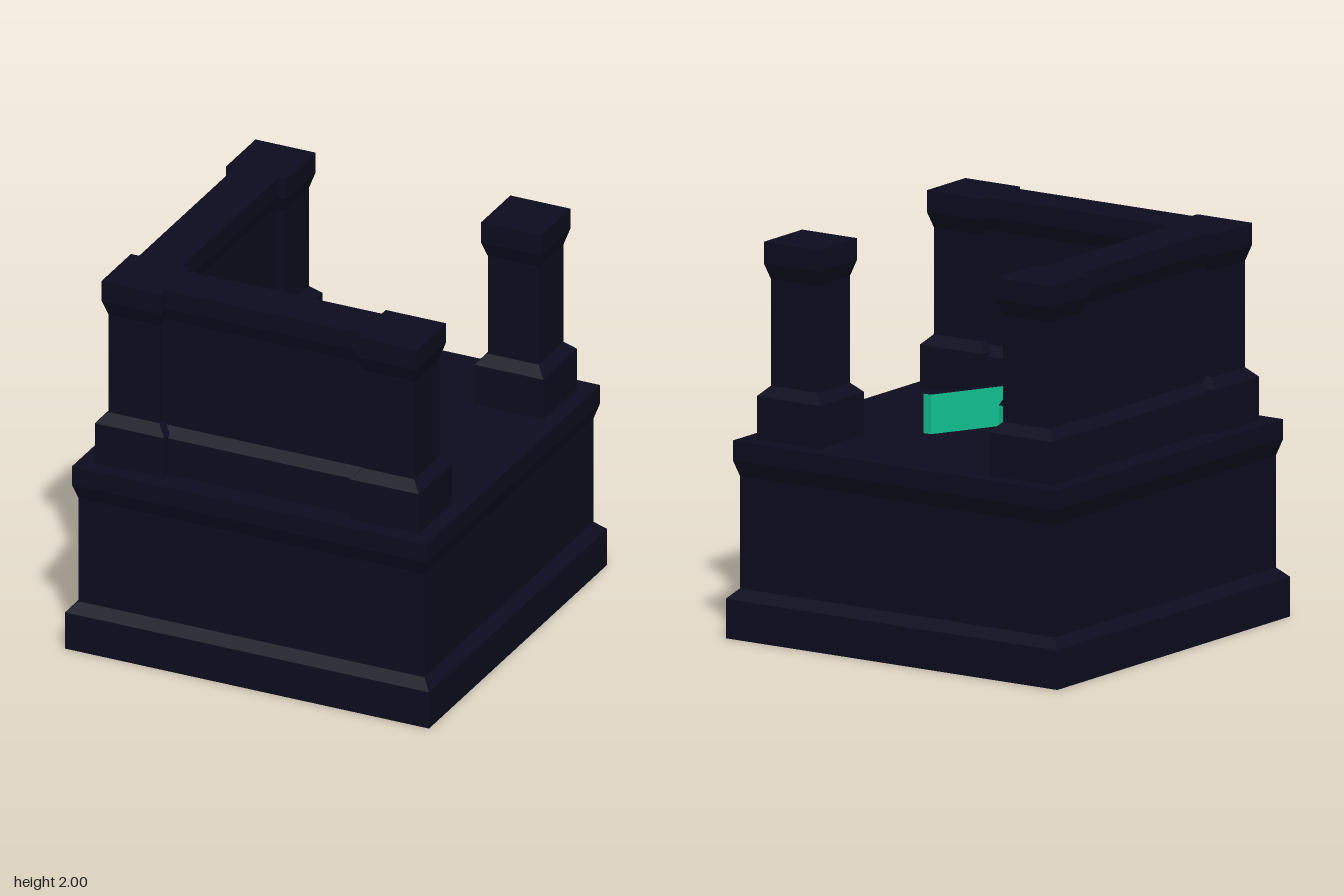
import * as THREE from 'three';

const navy = new THREE.MeshStandardMaterial({ color: 0x0c0c1f });
navy.name = 'darkNavy';
const green = new THREE.MeshStandardMaterial({ color: 0x10c090 });
green.name = 'emeraldGreen';

// Square block whose half-width follows a [halfWidth, y] profile
function squareBlock(profile) {
  const closed = [[0, profile[0][1]], ...profile, [0, profile.at(-1)[1]]];
  const points = closed.map(([h, y]) => new THREE.Vector2(h * Math.SQRT2, y));
  const geo = new THREE.LatheGeometry(points, 4, Math.PI / 4).toNonIndexed();
  geo.computeVertexNormals();
  return geo;
}

// Straight wall along z with a mirrored [halfWidth, y] cross-section
function wallGeometry(profile, length) {
  const right = profile.map(([h, y]) => new THREE.Vector2(h, y));
  const left = profile.map(([h, y]) => new THREE.Vector2(-h, y)).reverse();
  const geo = new THREE.ExtrudeGeometry(new THREE.Shape([...right, ...left]), {
    depth: length, bevelEnabled: false,
  });
  return geo.translate(0, 0, -length / 2);
}

export function createModel() {
  const group = new THREE.Group();
  const add = (name, geo, material, x = 0, z = 0) => {
    const mesh = new THREE.Mesh(geo, material);
    mesh.name = name;
    mesh.position.set(x, 0, z);
    group.add(mesh);
    return mesh;
  };

  // Plinth with a stepped foot and a flared rim
  add('base', squareBlock([
    [1, 0], [1, 0.2], [0.95, 0.25], [0.95, 0.82], [0.975, 0.9], [0.975, 1],
  ]), navy);

  // Four corner pillars
  const pillar = squareBlock([
    [0.19, 1], [0.19, 1.22], [0.14, 1.27], [0.14, 1.81], [0.165, 1.89], [0.165, 2],
  ]);
  for (const [x, z, name] of [
    [0.7, 0.7, 'frontLeftPillar'], [-0.7, 0.7, 'frontRightPillar'],
    [0.7, -0.7, 'backLeftPillar'], [-0.7, -0.7, 'backRightPillar'],
  ]) add(name, pillar, navy, x, z);

  // Walls on the right and front sides, slightly inset from the pillars
  const wall = wallGeometry([
    [0.145, 1], [0.145, 1.2], [0.1, 1.25], [0.1, 1.83], [0.12, 1.9], [0.12, 2],
  ], 1.14);
  add('rightWall', wall, navy, -0.7, 0);
  add('frontWall', wall, navy, 0, 0.7).rotation.y = Math.PI / 2;

  // Chevron marker on the floor: dark top, green sides (shape y becomes -z)
  const chevron = new THREE.Shape([
    [-0.2, 0.3], [0.05, -0.2], [0.3, 0.3], [0.255, 0.3], [0.05, -0.11], [-0.155, 0.3],
  ].map(([x, y]) => new THREE.Vector2(x, y)));
  const marker = new THREE.ExtrudeGeometry(chevron, { depth: 0.2, bevelEnabled: false });
  marker.rotateX(-Math.PI / 2).translate(0, 1, 0);
  add('chevronMarker', marker, [navy, green]);

  return group;
}
